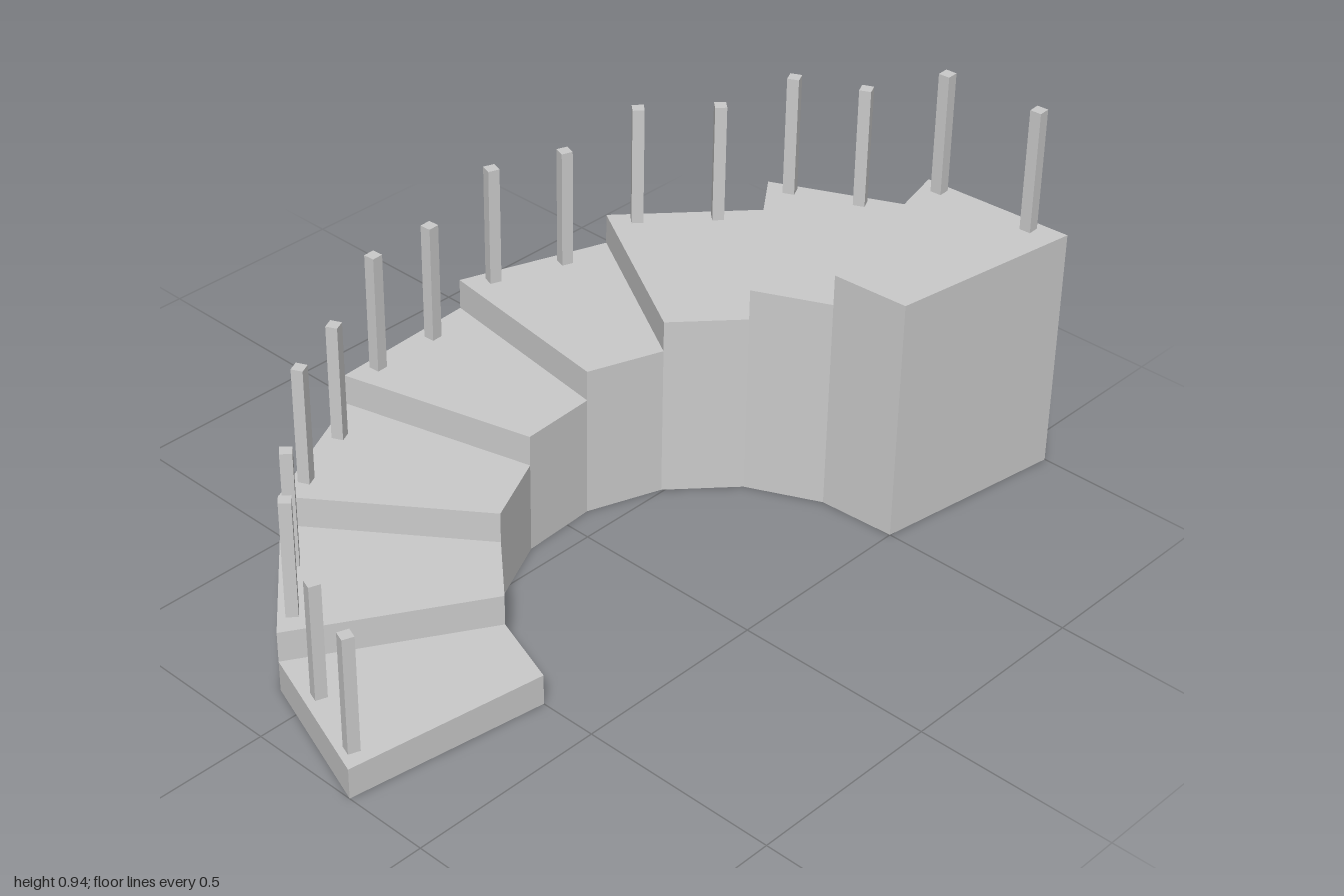
import * as THREE from 'three';

const STEPS = 8;
const RISE = 0.079;
const CENTRE_X = 0.428;
const INNER = 0.505;
const OUTER = 1.01;
const START = THREE.MathUtils.degToRad(98.2);
const SWEEP = Math.PI / STEPS;

// Baluster centres [x, z], two per step, from the lowest step up
const POSTS = [
  [0.24, 0.95], [0.06, 0.882], [-0.116, 0.799], [-0.252, 0.678],
  [-0.384, 0.519], [-0.461, 0.349], [-0.521, 0.17], [-0.526, -0.011],
  [-0.514, -0.202], [-0.45, -0.382], [-0.37, -0.55], [-0.239, -0.697],
  [-0.109, -0.811], [0.05, -0.885], [0.231, -0.953], [0.489, -0.96],
];

const material = new THREE.MeshStandardMaterial({ color: 0xcccccc, flatShading: true });

// Plan point on a circle; shape y runs towards -z
function planPoint(radius, angle) {
  return new THREE.Vector2(CENTRE_X + radius * Math.cos(angle), -radius * Math.sin(angle));
}

// Solid straight-sided wedge from the ground to the tread
function makeStep(index) {
  const a = START + index * SWEEP;
  const b = a + SWEEP;
  const shape = new THREE.Shape([
    planPoint(INNER, a), planPoint(OUTER, a), planPoint(OUTER, b), planPoint(INNER, b),
  ]);
  const geometry = new THREE.ExtrudeGeometry(shape, { depth: (index + 1) * RISE, bevelEnabled: false });
  geometry.rotateX(-Math.PI / 2);
  const mesh = new THREE.Mesh(geometry, material);
  mesh.name = 'step' + (index + 1);
  return mesh;
}

// Square post standing on a tread and turned with its step
function makeBaluster([x, z], index) {
  const bottom = (index + 1) * RISE;
  const top = 0.382 + index * 0.0803;
  const mesh = new THREE.Mesh(new THREE.BoxGeometry(0.029, top - bottom, 0.029), material);
  mesh.position.set(x, (top + bottom) / 2, z);
  mesh.rotation.y = -(START + (index + 0.5) * SWEEP);
  mesh.name = 'baluster';
  return mesh;
}

export function createModel() {
  const model = new THREE.Group();
  model.name = 'curvedStaircase';

  const steps = new THREE.Group();
  steps.name = 'steps';
  for (let i = 0; i < STEPS; i++) steps.add(makeStep(i));

  const balusters = new THREE.Group();
  balusters.name = 'balusters';
  POSTS.forEach((post, i) => balusters.add(makeBaluster(post, Math.floor(i / 2))));

  model.add(steps, balusters);
  return model;
}
